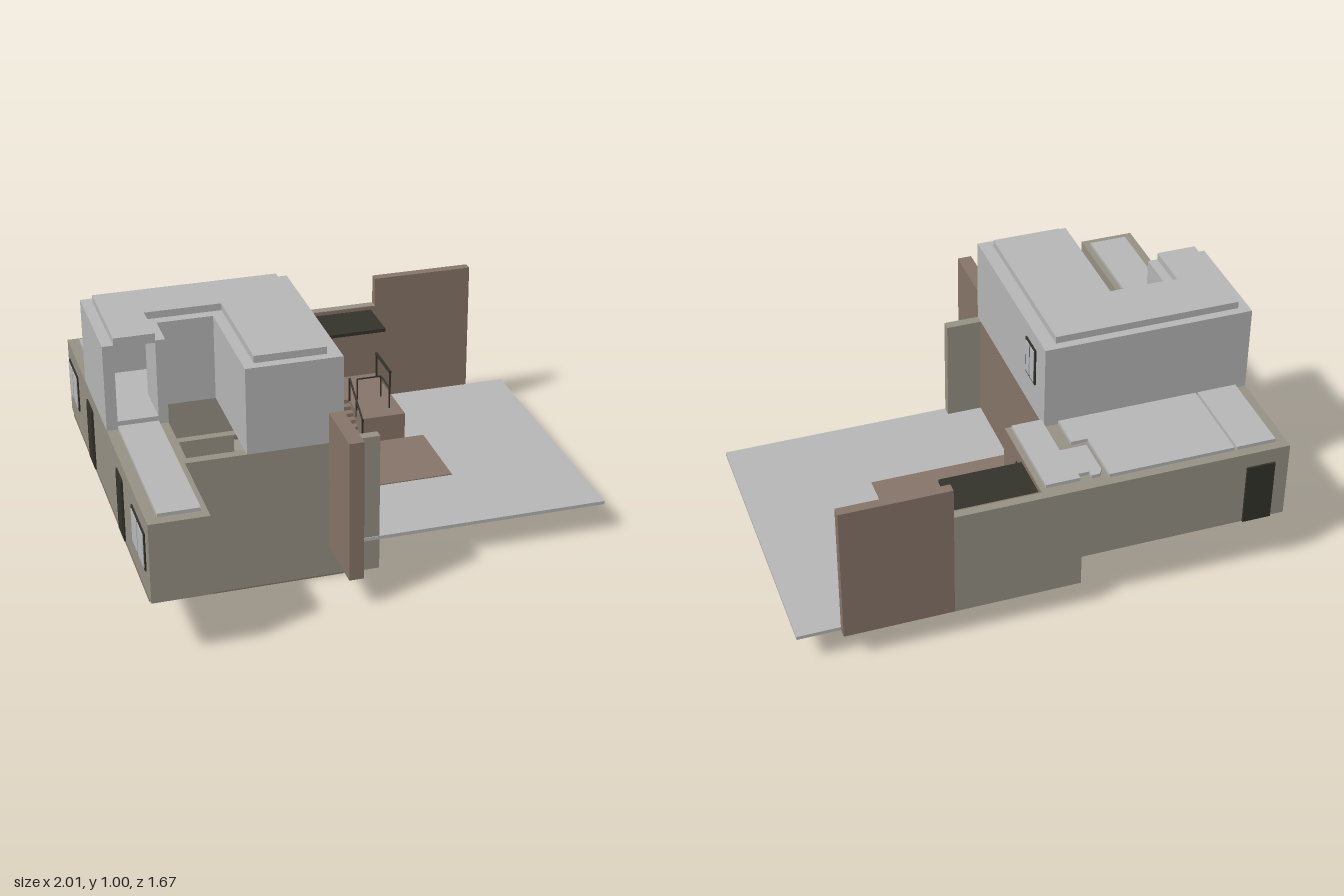
import * as THREE from 'three';

const mat = (name, color) => {
  const m = new THREE.MeshStandardMaterial({ color });
  m.name = name;
  return m;
};

export function createModel() {
  const house = new THREE.Group();
  house.name = 'house';
  const grey = mat('grey plaster', 0xb9b9b9);
  const olive = mat('olive render', 0x989386);
  const brown = mat('brown cladding', 0x88766a);
  const dark = mat('dark metal', 0x34332b);
  const glass = mat('pale glass', 0xb9bbbe);

  const add = (name, geometry, material) => {
    const m = new THREE.Mesh(geometry, material);
    m.name = name;
    house.add(m);
    return m;
  };
  // box given by its limits along each axis
  const box = (name, material, x0, x1, y0, y1, z0, z1) => {
    const m = add(name, new THREE.BoxGeometry(x1 - x0, y1 - y0, z1 - z0), material);
    m.position.set((x0 + x1) / 2, (y0 + y1) / 2, (z0 + z1) / 2);
    return m;
  };
  // floor plan of [x, z] points raised from y0 to y1
  const plan = (name, material, pts, y0, y1, holes = []) => {
    const path = (p) => p.map(([x, z]) => new THREE.Vector2(x, -z));
    const shape = new THREE.Shape(path(pts));
    holes.forEach((h) => shape.holes.push(new THREE.Path(path(h))));
    const g = new THREE.ExtrudeGeometry(shape, { depth: y1 - y0, bevelEnabled: false });
    g.rotateX(-Math.PI / 2).translate(0, y0, 0);
    return add(name, g, material);
  };
  const rect = (x0, x1, z0, z1) => [[x0, z0], [x1, z0], [x1, z1], [x0, z1]];
  // thin bar between two points
  const bar = (name, a, b, t = 0.007) => {
    const p = new THREE.Vector3(...a), q = new THREE.Vector3(...b);
    const m = add(name, new THREE.BoxGeometry(t, t, p.distanceTo(q)), dark);
    m.position.copy(p).add(q).multiplyScalar(0.5);
    m.lookAt(q);
  };
  // framed opening on a wall facing +x or -x
  const sideOpening = (name, x, dir, z0, z1, y0, y1, panes, paneMat = glass) => {
    const plate = (n, m, t, ya, yb, za, zb) =>
      box(n, m, Math.min(x, x + dir * t), Math.max(x, x + dir * t), ya, yb, za, zb);
    plate(name + 'Frame', dark, 0.006, y0, y1, z0, z1);
    const f = 0.01, w = (z1 - z0 - f) / panes;
    for (let i = 0; i < panes; i++)
      plate(name + 'Pane', paneMat, 0.009, y0 + f, y1 - f, z0 + f + i * w, z0 + (i + 1) * w);
  };

  // ground slab and paved patch
  plan('groundSlab', grey,
    [[-0.13, 0.413], [-0.13, -0.37], [0, -0.37], [0, -0.79], [1, -0.79], [1, 0.413]], 0.135, 0.15);
  box('paving', brown, -0.13, 0.47, 0.15, 0.154, -0.36, 0.015);

  // lower storey around the two open light wells
  const wells = [rect(-0.75, -0.52, -0.1, 0.2), rect(-0.75, -0.52, 0.235, 0.37)];
  const core = rect(-0.79, -0.132, -0.37, 0.41);
  plan('lowerStorey', olive, core, 0.006, 0.604, wells);
  plan('lowerUnderside', brown, core, 0, 0.006, wells);
  box('frontFin', olive, -0.135, 0.02, 0, 0.604, 0.37, 0.41);
  box('courtWallCladding', brown, -0.135, -0.129, 0, 0.605, -0.37, 0.37);
  box('privacyWall', brown, -0.19, -0.13, 0.135, 0.735, 0.41, 0.68);

  // side wing and rear wing
  box('sideWing', olive, -1, -0.765, 0.27, 0.605, -0.37, 0.83);
  box('rearWing', olive, -1, -0.14, 0.27, 0.605, -0.83, -0.37);
  box('rearWingEnd', olive, -0.14, 0.018, 0.135, 0.605, -0.83, -0.37);
  box('rearWall', olive, 0.018, 0.38, 0.135, 0.605, -0.83, -0.794);
  box('sideWingFloor', brown, -1, -0.77, 0.255, 0.27, -0.79, 0.79);
  box('rearWingFloor', brown, -0.77, -0.14, 0.255, 0.27, -0.79, -0.37);
  box('terraceBackCladding', brown, 0.018, 0.38, 0.135, 0.605, -0.794, -0.788);
  box('terraceSideCladding', brown, 0.016, 0.022, 0.135, 0.605, -0.79, -0.37);
  box('tallRearWall', brown, 0.38, 0.825, 0.135, 0.735, -0.83, -0.79);

  // low roof panels
  [
    [-0.955, -0.79, 0.06, 0.785],
    [-0.955, -0.79, -0.79, -0.41],
    [-0.78, -0.258, -0.79, -0.41],
    [-0.258, -0.19, -0.555, -0.41],
  ].forEach((r) => plan('lowRoofPanel', grey, rect(...r), 0.6, 0.62));
  plan('lowRoofPanel', grey, [[-0.24, -0.75], [-0.225, -0.775], [-0.19, -0.775], [-0.19, -0.75],
    [-0.145, -0.75], [-0.145, -0.775], [-0.005, -0.775], [-0.005, -0.38], [-0.13, -0.38],
    [-0.13, -0.59], [-0.24, -0.59]], 0.6, 0.62);

  // upper storey: thin walls round a hooked plan, open at the end of the short arm
  const inner = [[-0.79, 0.06], [-0.79, -0.145], [-0.475, -0.145], [-0.475, 0.37],
    [-0.185, 0.37], [-0.185, -0.375], [-0.955, -0.375], [-0.955, 0.06]];
  plan('upperWalls', grey, [[-1, 0.06], [-1, -0.41], [-0.13, -0.41], [-0.13, 0.41],
    [-0.52, 0.41], [-0.52, -0.1], [-0.75, -0.1], [-0.75, 0.06], ...inner], 0.604, 0.97);
  plan('upperFloor', grey, inner, 0.604, 0.64);
  plan('upperRoof', grey, inner, 0.96, 1.0);

  // windows and doors
  sideOpening('upperWindow', -0.13, 1, -0.31, -0.2, 0.74, 0.905, 2);
  sideOpening('courtDoor', -0.129, 1, -0.31, -0.2, 0.155, 0.42, 1);
  box('courtDoorHandle', dark, -0.122, -0.112, 0.25, 0.28, -0.3, -0.292);
  sideOpening('wingWindow', -0.765, 1, 0.66, 0.79, 0.375, 0.535, 2);
  sideOpening('wingDoor', -0.765, 1, 0.535, 0.645, 0.27, 0.535, 1, dark);
  sideOpening('wingWindow', -0.765, 1, 0.43, 0.52, 0.375, 0.535, 2);
  sideOpening('outerWindow', -1, -1, -0.79, -0.59, 0.375, 0.535, 2);
  sideOpening('outerWindow', -1, -1, 0.54, 0.77, 0.375, 0.535, 2);
  sideOpening('outerDoor', -1, -1, -0.37, -0.25, 0.27, 0.54, 1, dark);
  sideOpening('outerDoor', -1, -1, 0.25, 0.36, 0.27, 0.54, 1, dark);
  box('rearDoor', dark, -0.94, -0.82, 0.27, 0.54, -0.838, -0.83);
  box('terraceDoorSurround', dark, 0.02, 0.026, 0.27, 0.553, -0.765, -0.52);
  sideOpening('terraceDoor', 0.026, 1, -0.75, -0.6, 0.272, 0.54, 2);
  for (const z of [-0.69, -0.655])
    box('terraceDoorHandle', dark, 0.035, 0.045, 0.36, 0.4, z - 0.004, z + 0.004);

  // raised terrace with steps
  plan('terrace', brown, [[0.022, -0.788], [0.385, -0.788], [0.385, -0.365], [0.19, -0.365],
    [0.19, -0.565], [0.045, -0.565], [0.045, -0.365], [0.022, -0.365]], 0.15, 0.27);
  const steps = 6;
  for (let i = 0; i < steps; i++) {
    const d = 0.2 / steps, h = 0.12 / (steps + 1);
    box('step', brown, 0.045, 0.19, 0.15, 0.15 + h * (i + 1), -0.365 - d * (i + 1), -0.365 - d * i);
  }

  // canopy over the terrace door
  box('canopy', dark, 0.022, 0.36, 0.574, 0.589, -0.788, -0.575);
  box('canopyLamp', dark, 0.085, 0.1, 0.565, 0.574, -0.72, -0.62);

  // railings
  bar('stairRail', [0.19, 0.268, -0.365], [0.19, 0.38, -0.555]);
  bar('stairPost', [0.19, 0.15, -0.36], [0.19, 0.27, -0.36]);
  bar('stairPost', [0.19, 0.27, -0.555], [0.19, 0.38, -0.555]);
  bar('stairPost', [0.19, 0.24, -0.455], [0.19, 0.32, -0.455]);
  bar('terraceRail', [0.38, 0.38, -0.765], [0.38, 0.38, -0.56], 0.01);
  for (const z of [-0.76, -0.565]) bar('terracePost', [0.38, 0.27, z], [0.38, 0.38, z]);
  bar('innerRail', [0.225, 0.37, -0.555], [0.335, 0.37, -0.555], 0.005);
  bar('innerRail', [0.335, 0.37, -0.555], [0.335, 0.37, -0.435], 0.005);
  for (const [x, z] of [[0.225, -0.555], [0.335, -0.555], [0.335, -0.435]])
    bar('innerPost', [x, 0.27, z], [x, 0.37, z], 0.005);

  return house;
}
